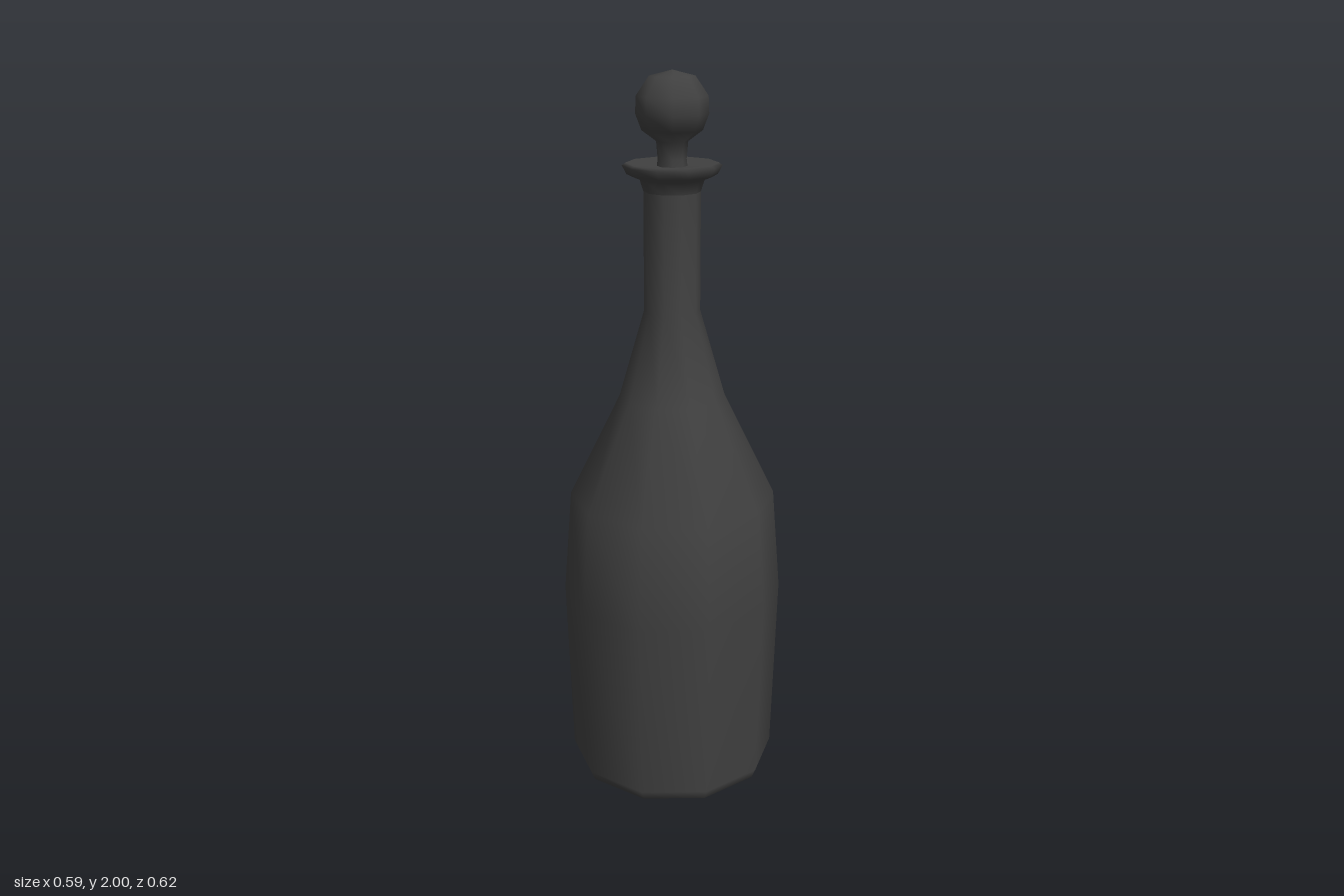
import * as THREE from 'three';

const material = new THREE.MeshStandardMaterial({ color: 0x404040 });

// Revolve a [radius, height] profile, listed from bottom to top
function turned(name, profile, sides, phase = 0) {
  const points = profile.map(([r, y]) => new THREE.Vector2(r, y));
  const mesh = new THREE.Mesh(new THREE.LatheGeometry(points, sides, phase), material);
  mesh.name = name;
  return mesh;
}

export function createModel() {
  const group = new THREE.Group();
  group.name = 'bottle';

  // Ten-sided body: flat base, bulging sides, shoulder and neck
  group.add(turned('body', [
    [0, 0], [0.272, 0], [0.283, 0.007], [0.295, 0.035], [0.31, 0.55],
    [0.287, 0.84], [0.145, 1.13], [0.076, 1.37], [0.076, 1.7],
  ], 10));

  // Flared lip, closed around the stopper
  group.add(turned('lip', [
    [0.076, 1.69], [0.086, 1.722], [0.12, 1.735], [0.132, 1.758],
    [0.122, 1.765], [0.06, 1.757], [0, 1.755],
  ], 10));

  // Eight-sided stopper: stem and ball
  group.add(turned('stopper', [
    [0.042, 1.74], [0.038, 1.775], [0.042, 1.82], [0.08, 1.848],
    [0.096, 1.89], [0.094, 1.935], [0.06, 1.985], [0, 2],
  ], 8, 0.465));

  return group;
}
